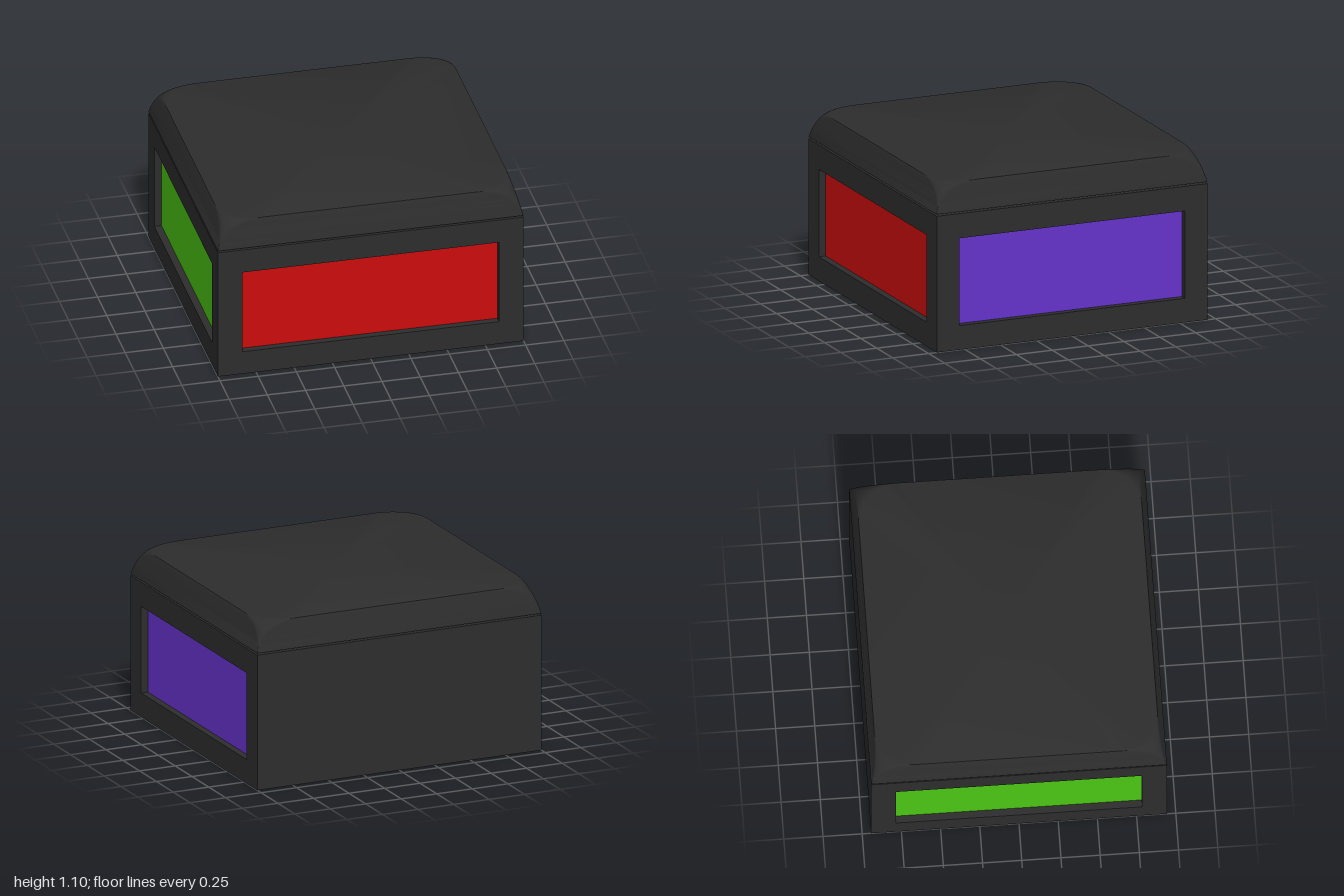
import * as THREE from 'three';
import { toCreasedNormals } from 'three/addons/utils/BufferGeometryUtils.js';

const W = 1, D = 0.943, H = 0.9, DEPTH = 0.05; // half width, half depth, body height, recess depth
const LID_Y = 0.912, LID_TOP = 1.1;

const mat = (color) => new THREE.MeshStandardMaterial({ color });

function add(parent, name, geometry, material) {
  const mesh = new THREE.Mesh(geometry, material);
  mesh.name = name;
  parent.add(mesh);
  return mesh;
}

// Rectangular frame, x0..x1 wide, with a window of half width w
function frameGeometry(x0, x1, w) {
  const rect = (C, a, b, c, d) => {
    const p = new C();
    p.moveTo(a, c);
    p.lineTo(b, c);
    p.lineTo(b, d);
    p.lineTo(a, d);
    p.closePath();
    return p;
  };
  const shape = rect(THREE.Shape, x0, x1, 0, H);
  shape.holes.push(rect(THREE.Path, -w, w, 0.16, 0.737));
  return new THREE.ExtrudeGeometry(shape, { depth: DEPTH, bevelEnabled: false });
}

// Lid: stacked rounded rectangles whose corner radius grows along a quarter ellipse
function lidGeometry() {
  const rows = 14, seg = 12, ring = 4 * (seg + 1);
  const pos = [], index = [];
  for (let i = 0; i <= rows; i++) {
    const a = (i / rows) * Math.PI / 2, t = Math.sin(a);
    const r = 0.002 + 0.27 * (1 - Math.cos(a));
    const hx = W - 0.045 * t, hz = D - 0.04 * t;
    for (let c = 0; c < 4; c++) {
      const sx = c === 0 || c === 3 ? 1 : -1, sz = c < 2 ? 1 : -1;
      for (let k = 0; k <= seg; k++) {
        const b = (c + k / seg) * Math.PI / 2;
        pos.push(sx * (hx - r) + r * Math.cos(b), LID_Y + (LID_TOP - LID_Y) * t, sz * (hz - r) + r * Math.sin(b));
      }
    }
  }
  for (let i = 0; i < rows; i++) {
    for (let j = 0; j < ring; j++) {
      const n = (j + 1) % ring, p = i * ring, q = p + ring;
      index.push(p + j, q + j, p + n, p + n, q + j, q + n);
    }
  }
  // top and underside
  const top = rows * ring, centre = pos.length / 3;
  pos.push(0, LID_TOP, 0, 0, LID_Y, 0);
  for (let j = 0; j < ring; j++) {
    const n = (j + 1) % ring;
    index.push(centre, top + n, top + j, centre + 1, j, n);
  }
  const g = new THREE.BufferGeometry();
  g.setAttribute('position', new THREE.Float32BufferAttribute(pos, 3));
  g.setIndex(index);
  return toCreasedNormals(g, 0.6);
}

export function createModel() {
  const model = new THREE.Group();
  const dark = mat(0x2d2d2d);

  // Solid core behind the framed faces
  const core = add(model, 'bodyCore', new THREE.BoxGeometry(2 * (W - DEPTH), H, 2 * D - DEPTH), dark);
  core.position.set(0, H / 2, -DEPTH / 2);

  // Framed faces with recessed coloured panels; the back stays plain
  const faces = [
    { name: 'front', turn: 0, dist: D, x0: -W, x1: W, w: 0.84, color: 0xcc0d0d },
    { name: 'left', turn: Math.PI / 2, dist: W, x0: -D + DEPTH, x1: D, w: 0.785, color: 0x6633cc },
    { name: 'right', turn: -Math.PI / 2, dist: W, x0: -D, x1: D - DEPTH, w: 0.785, color: 0x4cc614 },
  ];
  for (const f of faces) {
    const side = new THREE.Group();
    side.name = f.name + 'Side';
    side.rotation.y = f.turn;
    add(side, f.name + 'Frame', frameGeometry(f.x0, f.x1, f.w), dark).position.z = f.dist - DEPTH;
    const panel = add(side, f.name + 'Panel', new THREE.PlaneGeometry(2 * f.w, 0.577), mat(f.color));
    panel.position.set(0, 0.4485, f.dist - DEPTH + 0.003);
    model.add(side);
  }

  add(model, 'lid', lidGeometry(), dark);
  return model;
}
